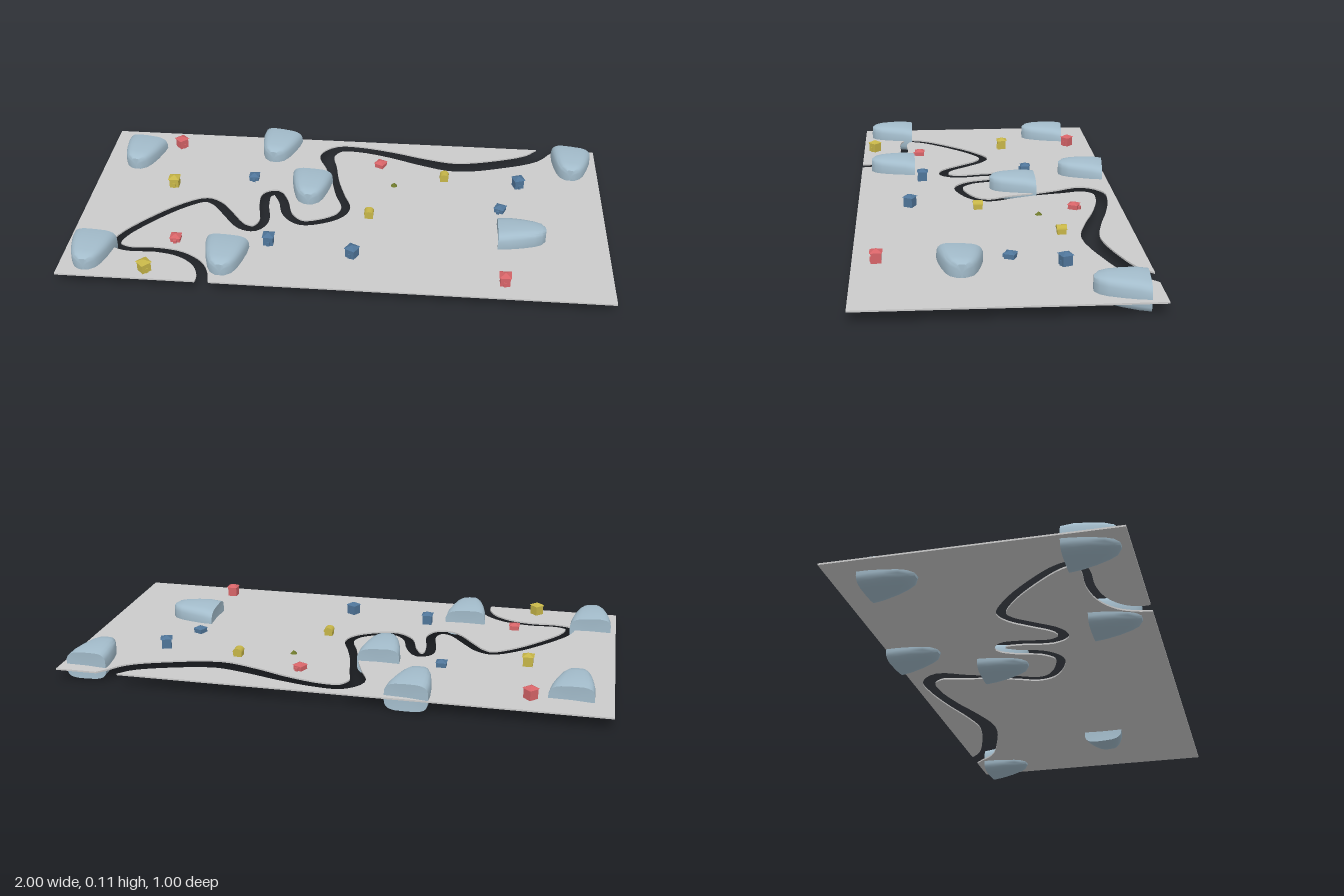
import * as THREE from 'three';
import { toCreasedNormals } from 'three/addons/utils/BufferGeometryUtils.js';

const GROUND = 0.056;
const mat = (color) => new THREE.MeshStandardMaterial({ color });
const grey = mat(0xcccccc), stone = mat(0xa3bccb), red = mat(0xd66468),
  yellow = mat(0xc6b548), blue = mat(0x4f7599), green = mat(0x6f7a2c);
stone.side = THREE.DoubleSide;

function add(parent, name, geometry, material, x = 0, y = 0, z = 0) {
  const mesh = new THREE.Mesh(geometry, material);
  mesh.name = name;
  mesh.position.set(x, y, z);
  parent.add(mesh);
  return mesh;
}

// River centreline as x, z, width
const RIVER = [
  [0.80, -0.5, 0.06], [0.745, -0.435, 0.065], [0.62, -0.38, 0.065], [0.435, -0.337, 0.068],
  [0.30, -0.365, 0.06], [0.165, -0.41, 0.05], [0.03, -0.44, 0.045], [-0.055, -0.437, 0.05],
  [-0.1, -0.38, 0.06], [-0.075, -0.29, 0.045], [-0.05, -0.195, 0.03], [-0.02, -0.09, 0.035],
  [0.008, -0.01, 0.035], [-0.01, 0.045, 0.035], [-0.08, 0.092, 0.035], [-0.155, 0.107, 0.035],
  [-0.21, 0.06, 0.038], [-0.24, -0.035, 0.038], [-0.275, -0.088, 0.04], [-0.308, -0.07, 0.04],
  [-0.31, 0.0, 0.038], [-0.295, 0.11, 0.038], [-0.325, 0.16, 0.04], [-0.375, 0.15, 0.04],
  [-0.445, 0.065, 0.04], [-0.49, 0.01, 0.038], [-0.54, -0.015, 0.035], [-0.62, 0.03, 0.035],
  [-0.73, 0.14, 0.035], [-0.81, 0.25, 0.035], [-0.82, 0.305, 0.035], [-0.77, 0.328, 0.03],
  [-0.665, 0.325, 0.032], [-0.57, 0.345, 0.035], [-0.50, 0.395, 0.038], [-0.47, 0.455, 0.04],
  [-0.465, 0.5, 0.045],
];

// One bank of the river: the centreline moved sideways by half the width
function bank(side, startX, endX) {
  const curve = new THREE.CatmullRomCurve3(RIVER.map(([x, z, w]) => new THREE.Vector3(x, w, z)));
  const points = [[startX, -0.5]], n = 144;
  for (let i = 1; i < n; i++) {
    const p = curve.getPoint(i / n), t = curve.getTangent(i / n);
    const k = side * p.y / 2 / Math.hypot(t.x, t.z);
    const x = p.x - t.z * k, z = p.z + t.x * k;
    if (Math.abs(z) < 0.495) points.push([x, z]);
  }
  points.push([endX, 0.5]);
  return points;
}

function groundPiece(parent, name, edge, points) {
  const outline = [[edge, -0.5], ...points, [edge, 0.5]].map(([x, z]) => new THREE.Vector2(x, -z));
  const geometry = new THREE.ExtrudeGeometry(new THREE.Shape(outline), { depth: 0.006, bevelEnabled: false });
  geometry.rotateX(-Math.PI / 2);
  add(parent, name, geometry, grey, 0, GROUND - 0.006, 0);
}

// Boulder: rounded-square sections from the broad back to the narrow front
function boulderGeometry() {
  const rows = [ // z, half width, bottom, top
    [-0.09, 0.08, 0.005, 0.108], [-0.05, 0.077, 0.008, 0.114], [0, 0.067, 0.014, 0.115],
    [0.045, 0.054, 0.022, 0.114], [0.072, 0.04, 0.028, 0.111], [0.088, 0.018, 0.04, 0.103],
  ];
  const n = 24, positions = [], index = [];
  const round = (v) => Math.sign(v) * Math.pow(Math.abs(v), 0.55);
  for (const [z, w, lo, hi] of rows) {
    for (let i = 0; i < n; i++) {
      const a = i / n * Math.PI * 2, x = w * round(Math.cos(a));
      const y = (lo + hi) / 2 + (hi - lo) / 2 * round(Math.sin(a)) - x * 0.06;
      positions.push(x, Math.max(0, y), z);
    }
  }
  const last = (rows.length - 1) * n, back = rows.length * n;
  positions.push(0, 0.055, -0.086, 0, 0.072, 0.09);
  for (let i = 0; i < n; i++) {
    const k = (i + 1) % n;
    for (let j = 0; j < last; j += n) {
      index.push(j + i, j + k, j + n + k, j + i, j + n + k, j + n + i);
    }
    index.push(back, k, i, back + 1, last + i, last + k);
  }
  const geometry = new THREE.BufferGeometry();
  geometry.setAttribute('position', new THREE.Float32BufferAttribute(positions, 3));
  geometry.setIndex(index);
  return toCreasedNormals(geometry, 0.7);
}

// Tall house: square walls under a pyramid roof, with a door step
function tallHouse(g, color) {
  add(g, 'walls', new THREE.BoxGeometry(0.036, 0.038, 0.036), color, 0, 0.019, 0);
  const roof = new THREE.ConeGeometry(0.031, 0.011, 4, 1).rotateY(Math.PI / 4).toNonIndexed();
  roof.computeVertexNormals();
  add(g, 'roof', roof, color, 0, 0.0435, 0);
  add(g, 'door', new THREE.BoxGeometry(0.01, 0.018, 0.004), color, 0, 0.009, 0.019);
}

// Cottage: low walls, pyramid roof and a porch
function cottage(g, color) {
  add(g, 'walls', new THREE.BoxGeometry(0.036, 0.018, 0.036), color, 0, 0.009, 0);
  const roof = new THREE.ConeGeometry(0.029, 0.01, 4, 1).rotateY(Math.PI / 4).toNonIndexed();
  roof.computeVertexNormals();
  add(g, 'roof', roof, color, 0, 0.023, 0);
  add(g, 'porch', new THREE.BoxGeometry(0.012, 0.012, 0.01), color, 0, 0.006, 0.022);
}

// Barn: low walls under a barrel roof running along z
function barn(g, color) {
  add(g, 'walls', new THREE.BoxGeometry(0.032, 0.018, 0.032), color, 0, 0.009, 0);
  const roof = new THREE.CylinderGeometry(0.018, 0.018, 0.037, 12, 1, false, Math.PI / 2, Math.PI)
    .rotateX(Math.PI / 2).rotateZ(0);
  roof.computeBoundingBox();
  if (roof.boundingBox.max.y < 0.01) roof.rotateZ(Math.PI);
  roof.scale(1, 0.8, 1);
  add(g, 'roof', roof, color, 0, 0.018, 0);
}

export function createModel() {
  const model = new THREE.Group();
  model.name = 'villageMap';

  // Ground in two halves with the river left open
  groundPiece(model, 'groundLeftOfRiver', -1, bank(1, 0.765, -0.49));
  groundPiece(model, 'groundRightOfRiver', 1, bank(-1, 0.845, -0.44));

  // Boulders sunk through the ground: x, z, turn
  const boulder = boulderGeometry();
  [[-0.86, -0.3, -0.08], [-0.305, -0.4, -0.12], [-0.14, -0.105, 0], [0.895, -0.365, -0.08],
    [-0.9, 0.38, 0], [-0.405, 0.37, 0], [0.68, 0.135, Math.PI / 2]].forEach(([x, z, turn]) => {
    add(model, 'boulder', boulder, stone, x, 0, z).rotation.y = turn;
  });

  // Buildings: type, colour, x, z, turn
  const q = Math.PI / 4;
  [
    [tallHouse, red, -0.715, -0.4, q], [tallHouse, red, 0.612, 0.417, 0],
    [cottage, red, 0.125, -0.318, 2.7], [cottage, red, -0.605, 0.258, 0],
    [tallHouse, yellow, -0.685, -0.105, 0], [tallHouse, yellow, -0.68, 0.453, q],
    [barn, yellow, 0.385, -0.238, 0], [barn, yellow, 0.102, 0.045, 0],
    [tallHouse, blue, 0.678, -0.215, 0.35], [tallHouse, blue, -0.257, 0.25, 0],
    [tallHouse, blue, 0.058, 0.302, -0.5], [cottage, blue, -0.375, -0.18, 0],
    [cottage, blue, 0.604, -0.037, -0.4],
  ].forEach(([build, color, x, z, turn]) => {
    const g = new THREE.Group();
    g.name = build === barn ? 'barn' : build === cottage ? 'cottage' : 'tallHouse';
    build(g, color);
    g.position.set(x, GROUND, z);
    g.rotation.y = turn;
    model.add(g);
  });

  // Small shrub
  add(model, 'shrub', new THREE.ConeGeometry(0.014, 0.014, 6), green, 0.187, GROUND + 0.007, -0.177);
  return model;
}
